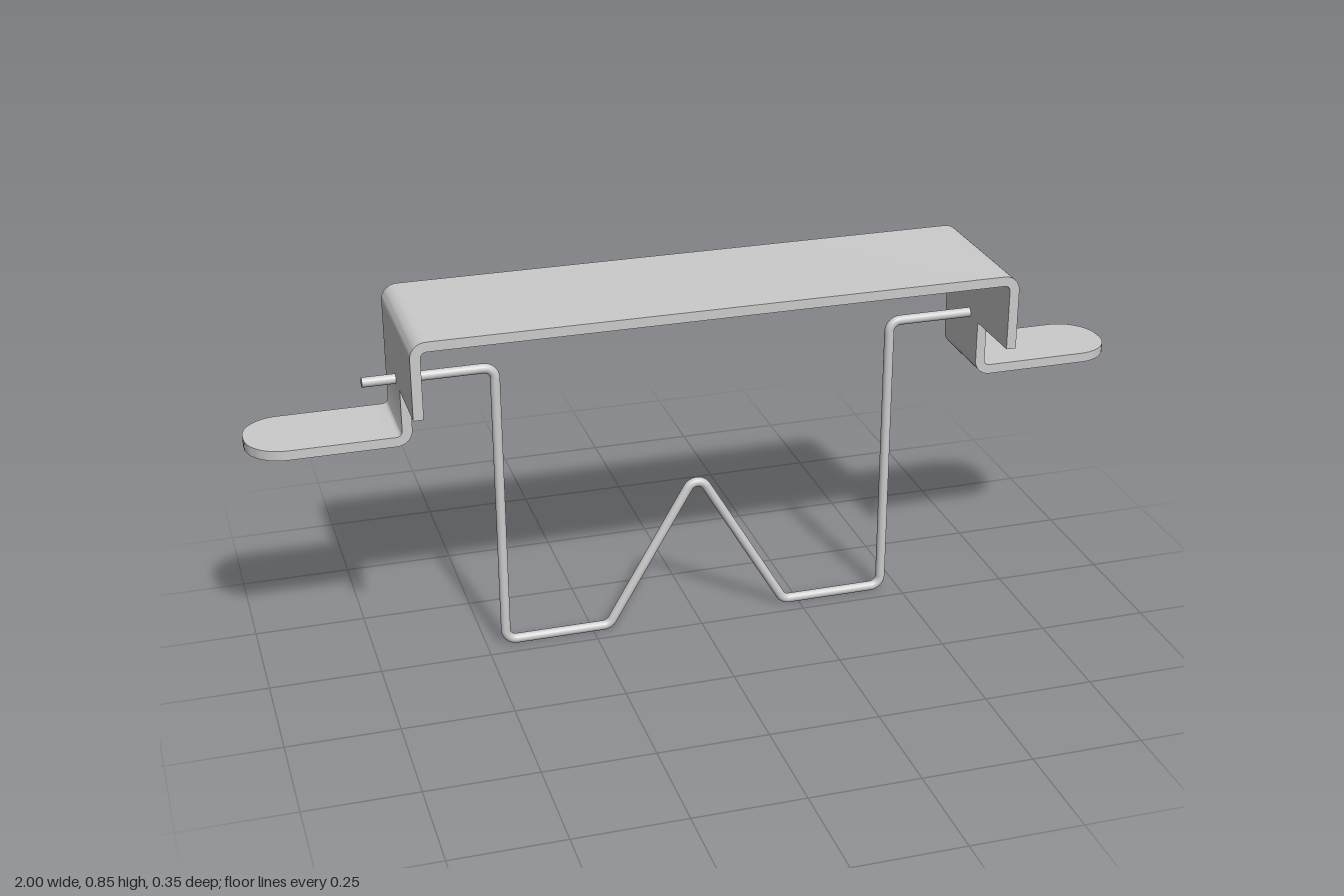
import * as THREE from 'three';
import { toCreasedNormals } from 'three/addons/utils/BufferGeometryUtils.js';

const material = new THREE.MeshStandardMaterial({ color: 0xcccccc });
const V = (x, y) => new THREE.Vector2(x, y);
const T = 0.022;                                  // sheet thickness
const BACK = -0.173, FRONT = 0.173, STEP = 0.012; // depth limits
const WALL_X = 0.661, STEP_Y = 0.682, TAB_Y = 0.564, TAB_START = 0.72;

// Polyline with rounded corners, sampled as points with exact tangents.
function roundedPath(corners, radius, steps = 8) {
  const dir = (a, b) => b.clone().sub(a).normalize();
  const last = corners.length - 1;
  const out = [{ p: corners[0], t: dir(corners[0], corners[1]) }];
  for (let i = 1; i < last; i++) {
    const a = dir(corners[i - 1], corners[i]);
    const b = dir(corners[i], corners[i + 1]);
    const turn = Math.atan2(a.cross(b), a.dot(b));
    const start = corners[i].clone().addScaledVector(a, -radius * Math.tan(Math.abs(turn) / 2));
    const normal = V(-a.y, a.x).multiplyScalar(Math.sign(turn));
    const centre = start.clone().addScaledVector(normal, radius);
    for (let k = 0; k <= steps; k++) {
      const angle = (turn * k) / steps;
      out.push({
        p: start.clone().rotateAround(centre, angle),
        t: a.clone().rotateAround(V(0, 0), angle),
      });
    }
  }
  out.push({ p: corners[last], t: dir(corners[last - 1], corners[last]) });
  return out;
}

function addMesh(group, name, geometry) {
  const mesh = new THREE.Mesh(geometry, material);
  mesh.name = name;
  group.add(mesh);
  return mesh;
}

// Bent sheet: a centreline thickened both ways and extruded along z.
function bentSheet(corners, z0, z1) {
  const path = roundedPath(corners, 0.024);
  const side = (d) => path.map(({ p, t }) => V(p.x - t.y * d, p.y + t.x * d));
  const shape = new THREE.Shape([...side(T / 2), ...side(-T / 2).reverse()]);
  const geometry = new THREE.ExtrudeGeometry(shape, { depth: z1 - z0, bevelEnabled: false });
  return toCreasedNormals(geometry.translate(0, 0, z0), 0.5);
}

// Flat tab with a rounded outer end.
function tabGeometry(s) {
  const r = 0.084;
  const outline = [V(s * TAB_START, -BACK), V(s * TAB_START, -STEP)];
  for (const [z, from] of [[-STEP + r, -Math.PI / 2], [-BACK - r, 0]]) {
    for (let k = 0; k <= 12; k++) {
      const a = from + (k / 12) * (Math.PI / 2);
      outline.push(V(s * (1 - r + r * Math.cos(a)), z + r * Math.sin(a)));
    }
  }
  const geometry = new THREE.ExtrudeGeometry(new THREE.Shape(outline), { depth: T, bevelEnabled: false });
  geometry.rotateX(-Math.PI / 2).translate(0, TAB_Y - T / 2, 0);
  return toCreasedNormals(geometry, 0.5);
}

// Curve that visits exactly the sampled path points.
class SampledCurve extends THREE.Curve {
  constructor(samples) {
    super();
    this.samples = samples;
  }
  at(u) {
    return this.samples[Math.round(u * (this.samples.length - 1))];
  }
  getPointAt(u) {
    const { p } = this.at(u);
    return new THREE.Vector3(p.x, p.y, 0);
  }
  getTangentAt(u) {
    const { t } = this.at(u);
    return new THREE.Vector3(t.x, t.y, 0);
  }
}

export function createModel() {
  const group = new THREE.Group();
  group.name = 'bracketWithWire';

  // Top plate with its folded side walls
  addMesh(group, 'channel', bentSheet([
    V(-WALL_X, STEP_Y), V(-WALL_X, 0.843), V(WALL_X, 0.843), V(WALL_X, STEP_Y),
  ], BACK, FRONT));

  // Narrower lower walls bending out into the mounting tabs
  for (const [s, label] of [[1, 'left'], [-1, 'right']]) {
    addMesh(group, label + 'LowerWall', bentSheet([
      V(s * WALL_X, STEP_Y), V(s * WALL_X, TAB_Y), V(s * TAB_START, TAB_Y),
    ], BACK, STEP));
    addMesh(group, label + 'Tab', tabGeometry(s));
  }

  // Hanging wire, passing through both walls
  const r = 0.011, end = 0.745, wireY = 0.689;
  const half = [V(end, wireY), V(0.456, wireY), V(0.456, r), V(0.212, r)];
  const corners = [
    ...half.map((p) => V(-p.x, p.y)), V(0, 0.373), ...half.slice().reverse(),
  ];
  const samples = roundedPath(corners, 0.025);
  const wire = new THREE.Group();
  wire.name = 'wire';
  wire.position.z = -0.04;
  addMesh(wire, 'wireRod', new THREE.TubeGeometry(new SampledCurve(samples), samples.length - 1, r, 20));
  for (const s of [1, -1]) {
    const cap = addMesh(wire, 'wireEnd', new THREE.CircleGeometry(r, 20));
    cap.rotation.y = (s * Math.PI) / 2;
    cap.position.set(s * end, wireY, 0);
  }
  group.add(wire);
  return group;
}
